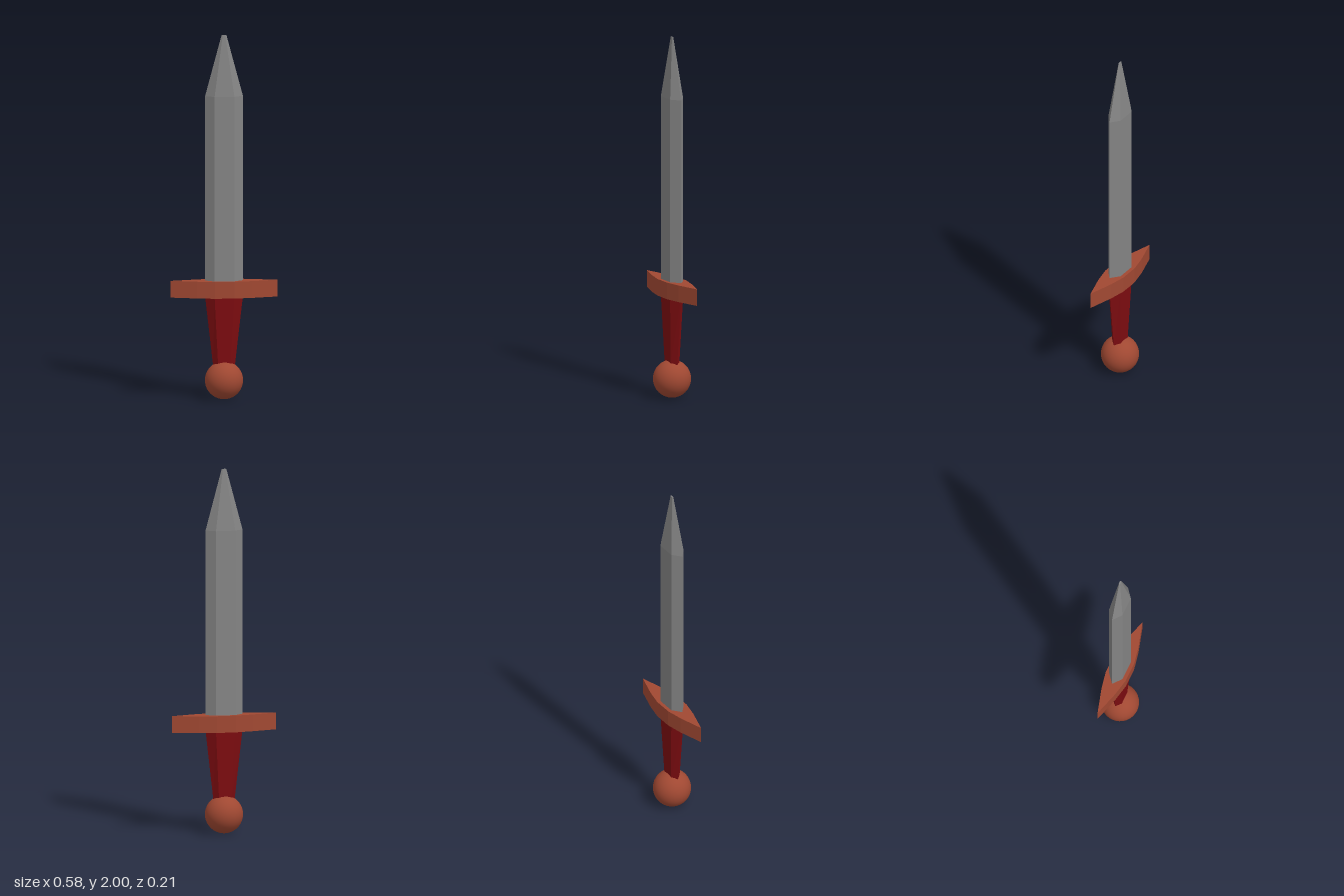
import * as THREE from 'three';

const paint = (name, color) => {
  const m = new THREE.MeshStandardMaterial({ color });
  m.name = name;
  return m;
};

// Symmetric hexagonal section: side edges at +-w, flat faces +-f wide at depth +-d
const hexagon = (w, f, d) => [[w, 0], [f, -d], [-f, -d], [-w, 0], [-f, d], [f, d]];

// Flat-faced solid through sections { y, ring }, listed from bottom to top
function loft(sections) {
  const pos = [];
  const tri = (...corners) => corners.forEach((c) => pos.push(...c));
  const rings = sections.map(({ y, ring }) => ring.map(([x, z]) => [x, y, z]));
  const n = rings[0].length;
  for (let s = 0; s < rings.length - 1; s++) {
    const a = rings[s], b = rings[s + 1];
    for (let i = 0; i < n; i++) {
      const j = (i + 1) % n;
      tri(a[i], a[j], b[j]);
      tri(a[i], b[j], b[i]);
    }
  }
  const low = rings[0], high = rings[rings.length - 1];
  for (let i = 1; i < n - 1; i++) {
    tri(low[0], low[i + 1], low[i]);
    tri(high[0], high[i], high[i + 1]);
  }
  const geometry = new THREE.BufferGeometry();
  geometry.setAttribute('position', new THREE.Float32BufferAttribute(pos, 3));
  geometry.computeVertexNormals();
  return geometry;
}

export function createModel() {
  const steel = paint('steel', 0x848484);
  const copper = paint('copper', 0xa04832);
  const leather = paint('red leather', 0x7d0c10);

  const group = new THREE.Group();
  group.name = 'sword';
  const add = (name, geometry, material) => {
    const mesh = new THREE.Mesh(geometry, material);
    mesh.name = name;
    group.add(mesh);
    return mesh;
  };

  // Blade with a tapering point
  add('blade', loft([
    { y: 0.64, ring: hexagon(0.103, 0.054, 0.04) },
    { y: 1.665, ring: hexagon(0.103, 0.054, 0.04) },
    { y: 2, ring: hexagon(0.013, 0.007, 0.004) },
  ]), steel);

  // Crossguard, pointed at both ends
  const guard = [
    [0.29, 0], [0.15, -0.041], [0.054, -0.06], [-0.054, -0.06], [-0.15, -0.041],
    [-0.29, 0], [-0.15, 0.041], [-0.054, 0.06], [0.054, 0.06], [0.15, 0.041],
  ];
  add('crossguard', loft([{ y: 0.56, ring: guard }, { y: 0.652, ring: guard }]), copper);

  // Grip narrowing toward the pommel
  add('grip', loft([
    { y: 0.19, ring: hexagon(0.06, 0.034, 0.027) },
    { y: 0.565, ring: hexagon(0.103, 0.054, 0.04) },
  ]), leather);

  // Round pommel
  add('pommel', new THREE.SphereGeometry(0.104, 32, 20), copper).position.y = 0.104;

  return group;
}
